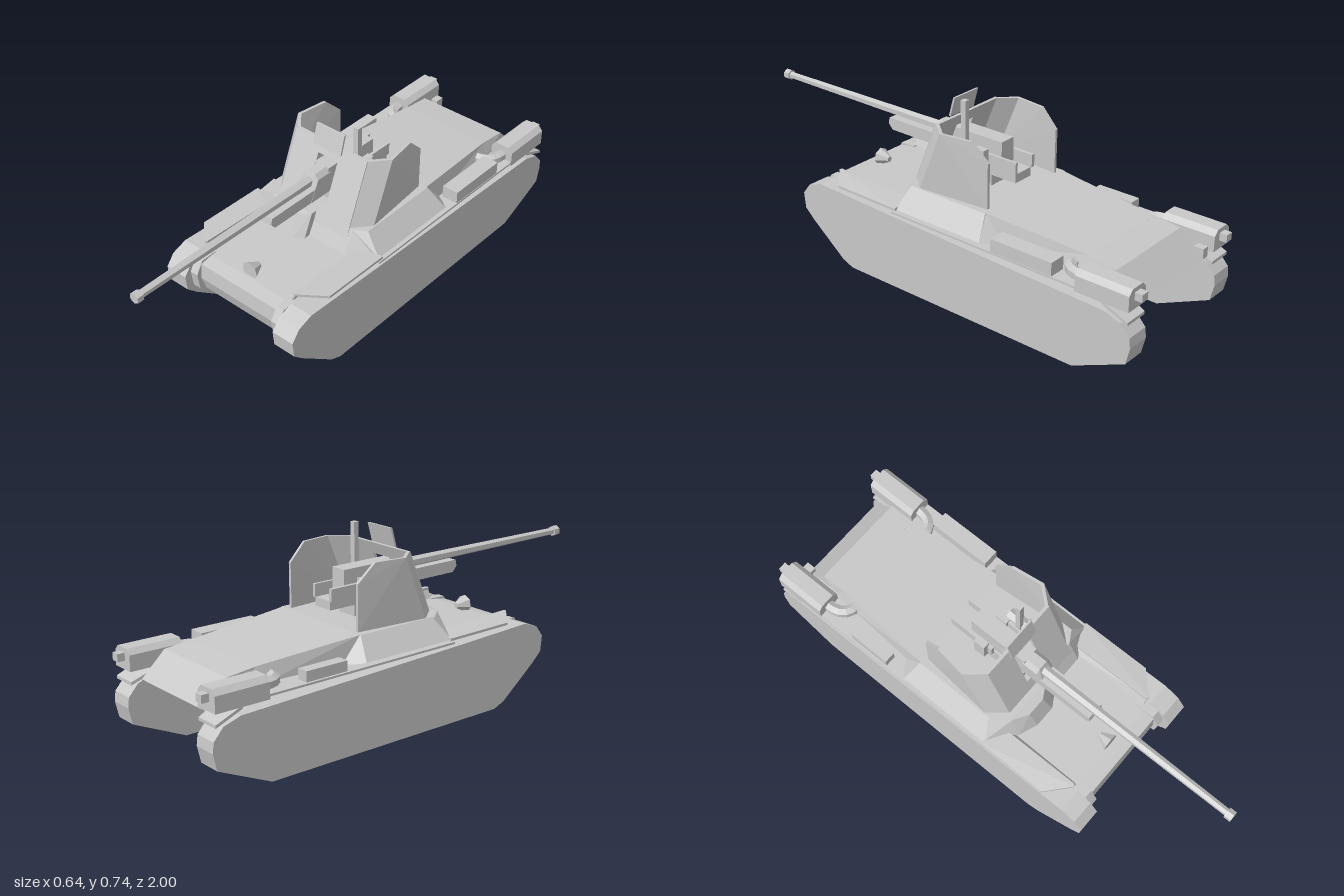
import * as THREE from 'three';
import { ConvexGeometry } from 'three/addons/geometries/ConvexGeometry.js';

const grey = new THREE.MeshStandardMaterial({ color: 0xc8c8c8, flatShading: true, side: THREE.DoubleSide });
grey.name = 'plain grey';

export function createModel() {
  const model = new THREE.Group();
  const add = (name, geo) => {
    const m = new THREE.Mesh(geo, grey);
    m.name = name;
    model.add(m);
    return m;
  };
  const v = (p) => new THREE.Vector3(...p);
  // convex solid from its corners
  const solid = (name, pts) => add(name, new ConvexGeometry(pts.map(v)));
  // convex solid symmetric about x = 0, from its +x corners
  const symmetric = (name, pts) => solid(name, pts.flatMap(([x, y, z]) => [[x, y, z], [-x, y, z]]));
  // flat plate thickened along an offset
  const slab = (name, pts, [ox, oy, oz]) =>
    solid(name, pts.flatMap(([x, y, z]) => [[x, y, z], [x + ox, y + oy, z + oz]]));
  // open-bottomed skin through mirrored cross-sections, each given as [lower corner, upper corner]
  const skin = (name, rows) => {
    const full = rows.map(([[a, b, c], [d, e, f]]) => [[a, b, c], [d, e, f], [-d, e, f], [-a, b, c]]);
    const out = [];
    for (let i = 0; i + 1 < full.length; i++) {
      for (let j = 0; j < 3; j++) {
        const [p, q, r, s] = [full[i][j], full[i][j + 1], full[i + 1][j + 1], full[i + 1][j]];
        out.push(...p, ...s, ...r, ...p, ...r, ...q);
      }
    }
    const g = new THREE.BufferGeometry();
    g.setAttribute('position', new THREE.Float32BufferAttribute(out, 3));
    g.computeVertexNormals();
    return add(name, g);
  };
  // box given by its limits
  const box = (name, x0, x1, y0, y1, z0, z1) => {
    const g = new THREE.BoxGeometry(x1 - x0, y1 - y0, z1 - z0);
    g.translate((x0 + x1) / 2, (y0 + y1) / 2, (z0 + z1) / 2);
    return add(name, g);
  };
  const shapeOf = (pts) => new THREE.Shape(pts.map(([a, b]) => new THREE.Vector2(a, b)));
  // side profile (z, y) extruded across x0..x1
  const sideProfile = (name, pts, x0, x1) => {
    const g = new THREE.ExtrudeGeometry(shapeOf(pts), { depth: x1 - x0, bevelEnabled: false });
    g.rotateY(-Math.PI / 2).translate(x1, 0, 0);
    return add(name, g);
  };
  // bar along z with radius r0 at z0 and r1 at z1
  const bar = (name, x, y, z0, z1, r0, r1, sides = 6) => {
    const g = new THREE.CylinderGeometry(r1, r0, z1 - z0, sides);
    g.rotateX(Math.PI / 2).rotateZ(Math.PI).translate(x, y, (z0 + z1) / 2);
    return add(name, g);
  };

  // tracks
  const track = [[0.32, 0], [0.37, 0.02], [0.53, 0.145], [0.573, 0.185], [0.58, 0.25], [0.545, 0.295],
    [0.48, 0.318], [0.14, 0.305], [-0.87, 0.272], [-0.94, 0.25], [-0.98, 0.205], [-0.985, 0.165],
    [-0.97, 0.1], [-0.75, 0]];
  sideProfile('trackLeft', track, 0.225, 0.322);
  sideProfile('trackRight', track, -0.322, -0.225);

  // open nose: bent plates between the tracks
  const nose = [[0.47, 0.31], [0.525, 0.3], [0.53, 0.235], [0.51, 0.175], [0.4, 0.118]];
  const inner = nose.map(([z, y]) => [z - 0.012, y - 0.004]).reverse();
  sideProfile('nosePlates', [...nose, ...inner], -0.225, 0.225);
  const flange = [[0.45, 0.315], [0.52, 0.312], [0.55, 0.26], [0.54, 0.19], [0.5, 0.17], [0.45, 0.2]];
  sideProfile('driveFlangeLeft', flange, 0.19, 0.225);
  sideProfile('driveFlangeRight', flange, -0.225, -0.19);

  // front deck and machine gun mount
  symmetric('frontDeck', [[0.225, 0.31, 0.47], [0.225, 0.3, 0.47], [0.225, 0.318, 0.1], [0.225, 0.308, 0.1]]);
  bar('gunMount', 0, 0.333, 0.41, 0.46, 0.012, 0.037, 7);

  // superstructure, engine deck and sloped tail, open underneath
  skin('hullTop', [
    [[0.31, 0.312, 0.09], [0.19, 0.31, 0.15]],
    [[0.31, 0.33, 0.09], [0.19, 0.41, 0.1]],
    [[0.31, 0.33, 0.09], [0.24, 0.41, 0.07]],
    [[0.31, 0.33, -0.32], [0.24, 0.41, -0.29]],
    [[0.24, 0.312, -0.38], [0.235, 0.41, -0.29]],
    [[0.22, 0.312, -0.72], [0.2, 0.378, -0.72]],
    [[0.205, 0.3, -0.84], [0.2, 0.365, -0.84]],
    [[0.205, 0.255, -0.935], [0.205, 0.27, -0.935]],
  ]);
  // driver's hood on the right half
  solid('driverHood', [[-0.25, 0.41, 0.06], [-0.19, 0.41, 0.13], [-0.13, 0.402, 0.165], [-0.05, 0.402, 0.165],
    [0.012, 0.41, 0.13], [0.012, 0.41, 0.06], [-0.2, 0.31, 0.17], [-0.12, 0.31, 0.2], [-0.03, 0.31, 0.2],
    [0.012, 0.31, 0.175], [0.012, 0.31, 0.08], [-0.3, 0.345, 0.09], [-0.24, 0.31, 0.08]]);

  for (const s of [1, -1]) {
    const side = s > 0 ? 'Left' : 'Right';
    // mudguards
    slab('frontMudguard' + side, [[s * 0.22, 0.335, 0.1], [s * 0.322, 0.33, 0.08], [s * 0.322, 0.333, 0.38],
      [s * 0.23, 0.345, 0.465], [s * 0.22, 0.345, 0.46]], [0, 0.01, 0]);
    slab('mudguardSkirt' + side, [[s * 0.225, 0.342, 0.1], [s * 0.225, 0.352, 0.46], [s * 0.205, 0.31, 0.46],
      [s * 0.2, 0.31, 0.1]], [s * 0.008, 0, 0]);
    slab('middleMudguard' + side, [[s * 0.225, 0.315, 0.1], [s * 0.322, 0.315, 0.1],
      [s * 0.322, 0.31, -0.86], [s * 0.205, 0.31, -0.86]], [0, 0.008, 0]);
    slab('rearMudguard' + side, [[s * 0.205, 0.295, -0.86], [s * 0.322, 0.295, -0.86],
      [s * 0.322, 0.25, -0.97], [s * 0.22, 0.25, -0.97]], [0, 0.012, 0]);
    // gusset between engine deck and tail
    solid('gusset' + side, [[s * 0.2, 0.375, -0.72], [s * 0.15, 0.378, -0.73], [s * 0.21, 0.315, -0.73],
      [s * 0.205, 0.355, -0.82]]);

    // exhaust muffler with tail box and elbow pipe
    const section = [[0.222, 0.3], [0.322, 0.3], [0.322, 0.362], [0.302, 0.382], [0.242, 0.382], [0.222, 0.362]];
    solid('muffler' + side, section.flatMap(([x, y]) => [[s * x, y, -0.97], [s * x, y, -0.75]]));
    const cx = s * 0.272;
    box('mufflerOutlet' + side, cx - 0.017, cx + 0.017, 0.335, 0.365, -1, -0.96);
    const elbow = new THREE.QuadraticBezierCurve3(v([cx, 0.335, -0.75]), v([cx, 0.335, -0.665]), v([s * 0.2, 0.335, -0.665]));
    add('exhaustElbow' + side, new THREE.TubeGeometry(elbow, 5, 0.024, 6));

    // gun shield cheeks and sides
    slab('shieldCheek' + side, [[s * 0.175, 0.41, 0.1], [s * 0.175, 0.66, 0], [s * 0.235, 0.66, -0.07],
      [s * 0.235, 0.41, 0.03]], [-s * 0.008, 0, -0.01]);
    slab('shieldSide' + side, [[s * 0.235, 0.41, 0.03], [s * 0.235, 0.66, -0.07], [s * 0.217, 0.66, -0.2],
      [s * 0.208, 0.59, -0.275], [s * 0.208, 0.41, -0.275]], [-s * 0.012, 0, 0]);
    // gun trunnions
    box('trunnion' + side, s * 0.065 - 0.015, s * 0.065 + 0.015, 0.47, 0.56, -0.15, -0.1);
  }

  // sloped shield front with gun opening
  const plate = shapeOf([[-0.175, 0.41], [0.012, 0.41], [0.012, 0.312], [0.195, 0.312], [0.175, 0.41],
    [0.175, 0.66], [-0.175, 0.66]]);
  plate.holes.push(new THREE.Path([[-0.048, 0.457], [-0.048, 0.612], [0.048, 0.612], [0.048, 0.457]]
    .map(([x, y]) => new THREE.Vector2(x, y))));
  const front = new THREE.ExtrudeGeometry(plate, { depth: 0.014, bevelEnabled: false });
  const pos = front.attributes.position;
  for (let i = 0; i < pos.count; i++) pos.setZ(i, pos.getZ(i) + 0.09 - (pos.getY(i) - 0.41) * 0.4);
  front.computeVertexNormals();
  add('shieldFront', front);
  slab('shieldFlap', [[-0.068, 0.65, 0.022], [0.068, 0.65, 0.022], [0.068, 0.73, 0], [-0.068, 0.73, 0]],
    [0, 0, 0.008]);

  // gun
  bar('barrel', 0, 0.56, 0, 0.98, 0.022, 0.015);
  bar('muzzle', 0, 0.56, 0.972, 1, 0.022, 0.022);
  solid('recoilHousing', [[-0.037, 0.49], [0.037, 0.49], [0.037, 0.575], [0.02, 0.595], [-0.02, 0.595], [-0.037, 0.575]]
    .flatMap(([x, y]) => [[x, y, 0.05], [x, y, y > 0.55 ? 0.12 : 0.16]]));
  symmetric('cradle', [[0.036, 0.54, 0.37], [0.036, 0.515, 0.375], [0.036, 0.492, 0.355], [0.036, 0.49, -0.1],
    [0.036, 0.54, -0.1]]);
  box('breech', -0.035, 0.035, 0.5, 0.595, -0.2, 0.06);
  box('breechGuardLeft', 0.04, 0.052, 0.49, 0.54, -0.28, -0.08);
  box('breechGuardRight', -0.06, -0.045, 0.49, 0.54, -0.28, -0.08);
  box('loadingTray', -0.045, 0.045, 0.455, 0.49, -0.275, 0.06);
  box('pedestal', -0.045, 0.045, 0.405, 0.47, -0.16, 0);

  // sight and periscope
  box('sightBox', 0.06, 0.13, 0.5, 0.55, -0.11, -0.045);
  bar('sightEyepiece', 0.095, 0.55, -0.12, -0.04, 0.025, 0.025);
  box('periscope', 0.066, 0.088, 0.5, 0.74, -0.068, -0.046);

  // stowage boxes and small tail fitting
  box('stowageBoxLeft', 0.25, 0.32, 0.315, 0.372, -0.65, -0.38);
  box('stowageBoxRight', -0.312, -0.265, 0.315, 0.36, -0.59, -0.41);
  box('tailFitting', -0.215, -0.185, 0.28, 0.32, -0.95, -0.91);
  return model;
}
